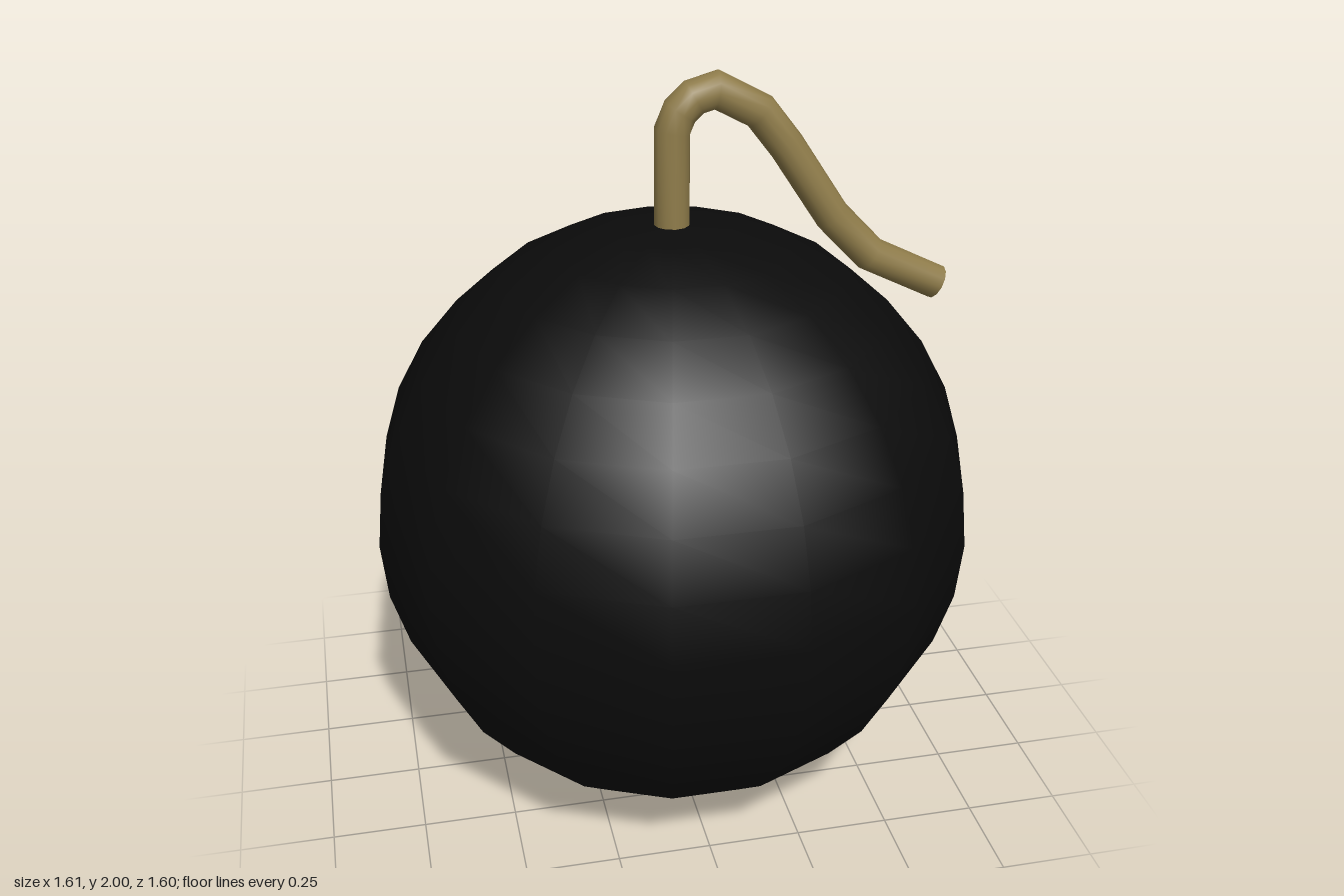
import * as THREE from 'three';

const CENTER_Z = 0.009;

// Round cord swept along points in the xy plane, with mitred joints and flat ends
function cordGeometry(path, radius, sides) {
  const pts = path.map(([x, y]) => new THREE.Vector2(x, y));
  const last = pts.length - 1;
  const pos = [], index = [];

  const addRing = (i, r) => {
    const a = pts[Math.max(i - 1, 0)], p = pts[i], b = pts[Math.min(i + 1, last)];
    const dirIn = (i > 0 ? p.clone().sub(a) : b.clone().sub(p)).normalize();
    const dirOut = (i < last ? b.clone().sub(p) : dirIn.clone()).normalize();
    const dir = dirIn.clone().add(dirOut).normalize();
    const mitre = 1 / dir.dot(dirIn);
    const start = pos.length / 3;
    for (let s = 0; s < sides; s++) {
      const t = (s / sides) * Math.PI * 2;
      const c = Math.cos(t) * r * mitre;
      pos.push(p.x - dir.y * c, p.y + dir.x * c, Math.sin(t) * r);
    }
    return start;
  };

  // Tube wall
  const rings = pts.map((_, i) => addRing(i, radius));
  for (let i = 0; i < last; i++) {
    for (let s = 0; s < sides; s++) {
      const n = (s + 1) % sides;
      const a = rings[i] + s, b = rings[i] + n, c = rings[i + 1] + s, d = rings[i + 1] + n;
      index.push(a, c, b, b, c, d);
    }
  }

  // End caps on their own vertices, so the rim stays sharp
  for (const [i, flip] of [[0, false], [last, true]]) {
    const start = addRing(i, radius);
    const mid = pos.length / 3;
    pos.push(pts[i].x, pts[i].y, 0);
    for (let s = 0; s < sides; s++) {
      const a = start + s, b = start + (s + 1) % sides;
      index.push(mid, ...(flip ? [b, a] : [a, b]));
    }
  }

  const geo = new THREE.BufferGeometry();
  geo.setAttribute('position', new THREE.Float32BufferAttribute(pos, 3));
  geo.setIndex(index);
  geo.computeVertexNormals();
  return geo;
}

export function createModel() {
  const group = new THREE.Group();

  // Ball body: 15 sides around, one corner pointing straight back
  const R = 0.809;
  const ball = new THREE.Mesh(
    new THREE.SphereGeometry(R, 15, 16, -Math.PI / 2),
    new THREE.MeshStandardMaterial({ color: 0x0b0b0b })
  );
  ball.name = 'ball';
  ball.position.set(0, R, CENTER_Z);
  group.add(ball);

  // Fuse: rises from the top, hooks over and droops along the left side
  const path = [
    [0, 1.54], [0, 1.857], [0.02, 1.905], [0.055, 1.938], [0.112, 1.954],
    [0.225, 1.893], [0.297, 1.8], [0.425, 1.606], [0.534, 1.492], [0.725, 1.397],
  ];
  const fuse = new THREE.Mesh(
    cordGeometry(path, 0.046, 12),
    new THREE.MeshStandardMaterial({ color: 0x8f7c4a, side: THREE.DoubleSide })
  );
  fuse.name = 'fuse';
  fuse.position.z = CENTER_Z;
  group.add(fuse);

  return group;
}
